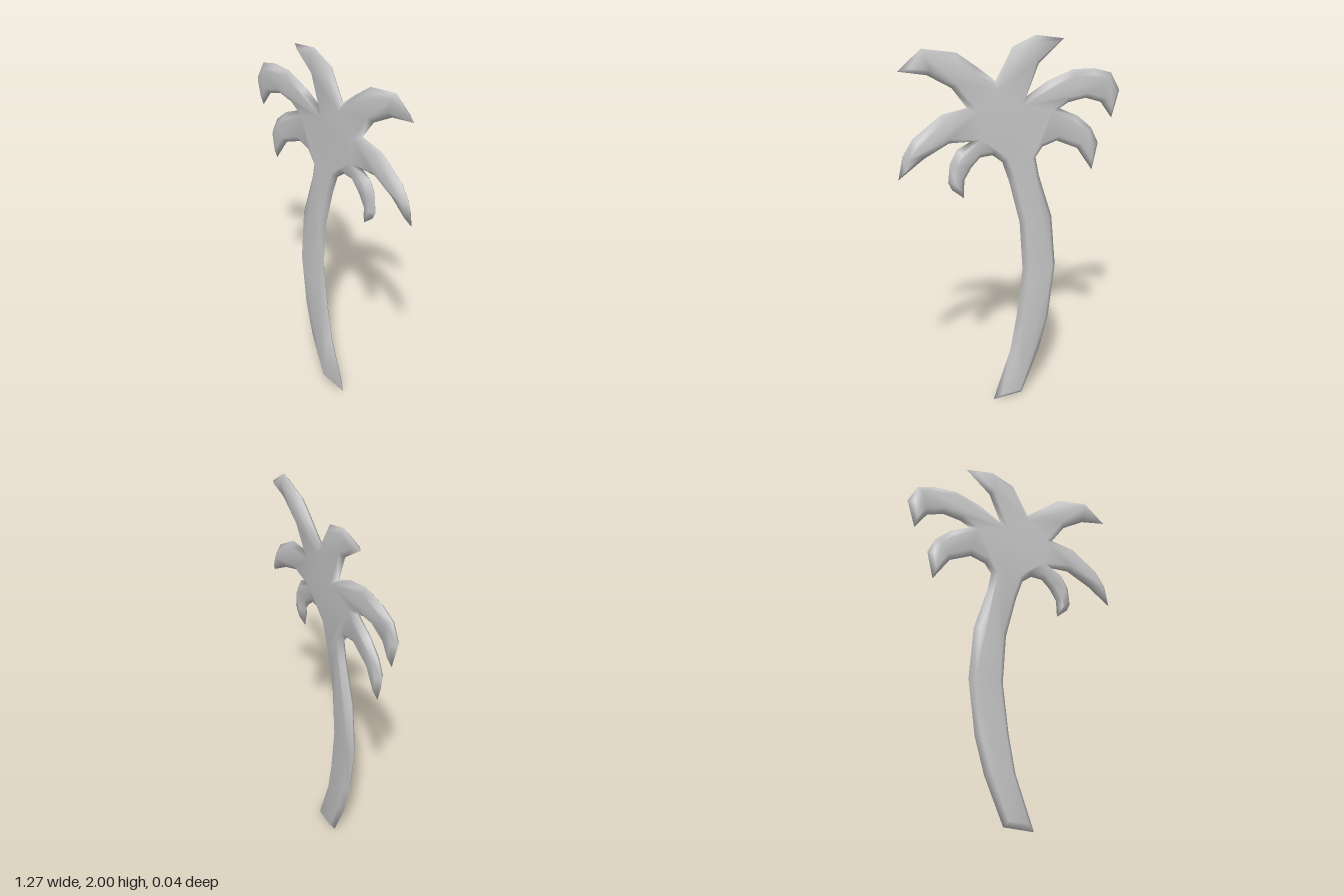
import * as THREE from 'three';

const HALF_DEPTH = 0.022; // half thickness of the flat body
const INSET = 0.028;      // width of the bevel towards the pointed rim

// Silhouette, counter-clockwise, one stretch per part
const trunkRight = [[-0.05, 0], [0.125, 0], [0.02, 0.28], [-0.02, 0.48], [-0.055, 0.75],
  [-0.037, 1.02], [0.026, 1.26], [0.065, 1.37]];
const smallFrond = [[0.12, 1.415], [0.19, 1.415], [0.24, 1.37], [0.28, 1.31], [0.285, 1.215],
  [0.35, 1.27], [0.37, 1.31], [0.36, 1.405], [0.32, 1.475], [0.245, 1.505]];
const leftFrond = [[0.36, 1.515], [0.5, 1.455], [0.635, 1.37], [0.61, 1.485], [0.555, 1.565],
  [0.4, 1.665], [0.26, 1.68]];
const upperLeftFrond = [[0.34, 1.79], [0.47, 1.87], [0.62, 1.905], [0.495, 2], [0.31, 1.96],
  [0.205, 1.88], [0.1, 1.795]];
const upperRightFrond = [[0.005, 1.955], [-0.125, 2], [-0.29, 1.965], [-0.145, 1.855], [-0.075, 1.695]];
const rightFrond = [[-0.2, 1.76], [-0.345, 1.8], [-0.475, 1.79], [-0.58, 1.755], [-0.635, 1.655],
  [-0.59, 1.51], [-0.52, 1.605], [-0.425, 1.64], [-0.32, 1.63], [-0.27, 1.605]];
const lowerRightFrond = [[-0.38, 1.55], [-0.465, 1.475], [-0.51, 1.385], [-0.475, 1.24],
  [-0.38, 1.375], [-0.255, 1.435], [-0.17, 1.415]];
const trunkLeft = [[-0.13, 1.365], [-0.15, 1.265], [-0.23, 1.02], [-0.255, 0.735],
  [-0.215, 0.435], [-0.16, 0.245]];

// Move each corner inwards along its mitre, with the sharp tips limited
function insetOutline(points, distance) {
  const n = points.length;
  return points.map((p, i) => {
    const a = p.clone().sub(points[(i + n - 1) % n]).normalize();
    const b = points[(i + 1) % n].clone().sub(p).normalize();
    const inward = new THREE.Vector2(-a.y - b.y, a.x + b.x).normalize();
    const cosHalf = inward.x * -a.y + inward.y * a.x;
    return p.clone().addScaledVector(inward, distance * Math.min(1 / cosHalf, 1.9));
  });
}

// Flat front and back faces joined by a bevel that meets in a sharp rim
function bevelledPlate(outline) {
  const n = outline.length;
  const inner = insetOutline(outline, INSET);
  const positions = [];
  const addRing = (ring, z) => ring.forEach((p) => positions.push(p.x, p.y, z));
  addRing(outline, 0);
  addRing(inner, HALF_DEPTH);
  addRing(inner, -HALF_DEPTH);

  const index = [];
  for (let i = 0; i < n; i++) {
    const j = (i + 1) % n;
    index.push(i, j, n + j, i, n + j, n + i);
    index.push(j, i, 2 * n + i, j, 2 * n + i, 2 * n + j);
  }
  for (const [a, b, c] of THREE.ShapeUtils.triangulateShape(inner, [])) {
    index.push(n + a, n + b, n + c);
    index.push(2 * n + a, 2 * n + c, 2 * n + b);
  }
  const geometry = new THREE.BufferGeometry();
  geometry.setAttribute('position', new THREE.Float32BufferAttribute(positions, 3));
  geometry.setIndex(index);
  geometry.computeVertexNormals();
  return geometry;
}

export function createModel() {
  const outline = [trunkRight, smallFrond, leftFrond, upperLeftFrond, upperRightFrond,
    rightFrond, lowerRightFrond, trunkLeft].flat().map(([x, y]) => new THREE.Vector2(x, y));

  // Trunk and fronds are one continuous plate
  const palm = new THREE.Mesh(bevelledPlate(outline), new THREE.MeshStandardMaterial({ color: 0xcccccc }));
  palm.name = 'palmTree';

  const group = new THREE.Group();
  group.name = 'palm';
  group.add(palm);
  return group;
}
